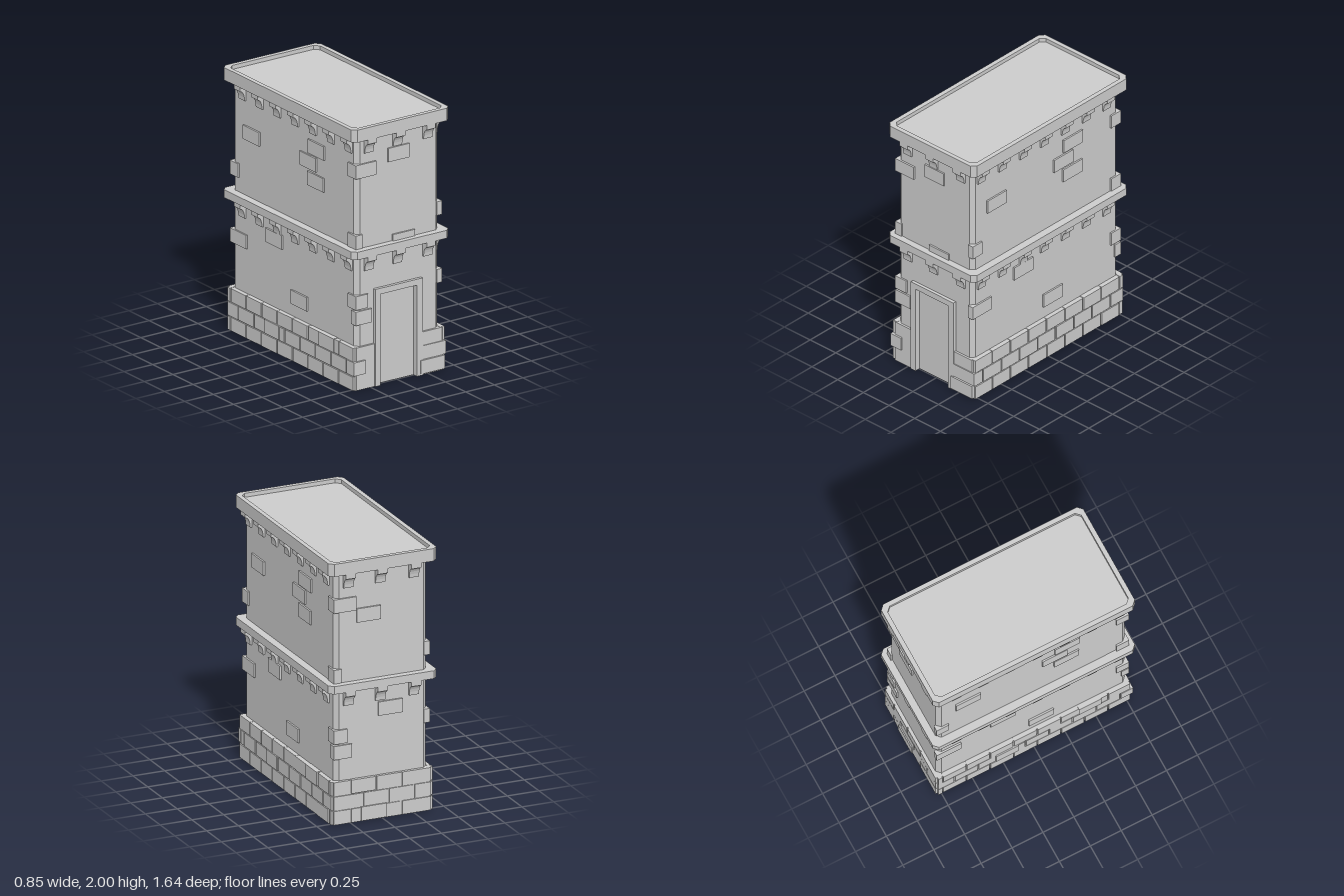
import * as THREE from 'three';

const mat = new THREE.MeshStandardMaterial({ color: 0xcccccc, flatShading: true });
const WALL_X = 0.365, WALL_Z = 0.765;
const DOOR = { x0: -0.17, x1: 0.15, top: 0.695, back: 0.745 };

export function createModel() {
  const model = new THREE.Group();

  function add(name, geometry, parent = model) {
    const mesh = new THREE.Mesh(geometry, mat);
    mesh.name = name;
    parent.add(mesh);
    return mesh;
  }

  function box(name, x0, x1, y0, y1, z0, z1) {
    add(name, new THREE.BoxGeometry(x1 - x0, y1 - y0, z1 - z0))
      .position.set((x0 + x1) / 2, (y0 + y1) / 2, (z0 + z1) / 2);
  }

  // Rectangle with cut corners, optionally notched for the doorway
  function plan(hx, hz, c, notch = false) {
    const pts = [[-hx + c, -hz]];
    if (notch) {
      pts.push([DOOR.x0, -hz], [DOOR.x0, -DOOR.back], [DOOR.x1, -DOOR.back], [DOOR.x1, -hz]);
    }
    pts.push([hx - c, -hz], [hx, -hz + c], [hx, hz - c], [hx - c, hz],
      [-hx + c, hz], [-hx, hz - c], [-hx, -hz + c]);
    return new THREE.Shape(pts.map(([x, y]) => new THREE.Vector2(x, y)));
  }

  function slab(name, shape, y0, y1) {
    const g = new THREE.ExtrudeGeometry(shape, { depth: y1 - y0, bevelEnabled: false });
    add(name, g.rotateX(-Math.PI / 2).translate(0, y0, 0));
  }

  // Walls, with a recessed door in the ground floor
  slab('groundFloorWall', plan(WALL_X, WALL_Z, 0.032, true), 0, DOOR.top);
  slab('upperWall', plan(WALL_X, WALL_Z, 0.032), DOOR.top, 1.93);
  slab('baseCore', plan(0.39, 0.782, 0.015, true), 0, 0.325);

  // Door frame
  box('doorFrameLeft', DOOR.x1, 0.2, 0, 0.74, 0.75, 0.79);
  box('doorFrameRight', -0.215, DOOR.x0, 0, 0.74, 0.75, 0.79);
  box('doorLintel', DOOR.x0, DOOR.x1, DOOR.top, 0.74, 0.75, 0.79);

  // Cornices and the rimmed flat roof
  slab('middleCornice', plan(0.425, 0.818, 0.034), 1.01, 1.07);
  slab('roofSlab', plan(0.425, 0.818, 0.034), 1.905, 1.97);
  const rim = plan(0.425, 0.818, 0.034);
  rim.holes.push(plan(0.39, 0.783, 0.034));
  slab('roofRim', rim, 1.97, 2);

  // Four faces: local +x points outward, local z runs along the wall
  const faces = {};
  [['right', 0], ['front', -Math.PI / 2], ['left', Math.PI], ['back', Math.PI / 2]].forEach(([name, angle]) => {
    const g = new THREE.Group();
    g.name = name + 'Face';
    g.rotation.y = angle;
    model.add(g);
    faces[name] = g;
  });
  const { right, left, front, back } = faces;

  // Corbels with a concave underside
  const profile = new THREE.Shape();
  profile.moveTo(-0.01, 0);
  profile.lineTo(-0.01, -0.115);
  profile.lineTo(0.012, -0.115);
  profile.quadraticCurveTo(0.014, -0.042, 0.052, -0.035);
  profile.lineTo(0.052, 0);
  const corbelGeo = new THREE.ExtrudeGeometry(profile, { depth: 0.077, bevelEnabled: false, curveSegments: 5 });
  corbelGeo.translate(0, 0, -0.0385);
  for (const y of [1.01, 1.905]) {
    for (const [face, out, spots] of [
      [right, WALL_X, [0.68, 0.46, 0.24, 0.02, -0.2, -0.42, -0.635]],
      [left, WALL_X, [0.635, 0.42, 0.2, -0.02, -0.24, -0.46, -0.68]],
      [front, WALL_Z, [-0.255, 0.01, 0.26]],
      [back, WALL_Z, [-0.255, 0.01, 0.26]],
    ]) {
      for (const along of spots) add('corbel', corbelGeo, face).position.set(out, y, along);
    }
  }

  function brick(face, name, out, along, y, length, height) {
    const depth = 0.04;
    add(name, new THREE.BoxGeometry(depth, height, length), face)
      .position.set(out - depth / 2, y, along);
  }

  // Scattered bricks on the walls: [along, height]
  for (const face of [right, left]) {
    for (const [z, y] of [[0.52, 1.55], [-0.28, 1.685], [-0.18, 1.565], [-0.275, 1.44], [0.24, 0.85], [-0.07, 0.473]]) {
      brick(face, 'sideBrick', WALL_X + 0.013, z, y, 0.2, 0.105);
    }
  }
  brick(front, 'frontBrick', WALL_Z + 0.013, 0, 1.732, 0.185, 0.105);
  brick(front, 'frontBrick', WALL_Z + 0.013, -0.045, 1.067, 0.19, 0.105);
  brick(back, 'backBrick', WALL_Z + 0.013, 0.1, 1.565, 0.19, 0.105);
  brick(back, 'backBrick', WALL_Z + 0.013, -0.07, 0.83, 0.19, 0.105);

  // Corner bricks, repeated on diagonally opposite corners: [x side, height, x length, z length]
  for (const s of [1, -1]) {
    for (const [sx, y, lx, lz] of [
      [-1, 1.66, 0.18, 0.1], [-1, 1.125, 0.06, 0.1], [-1, 0.663, 0.108, 0.1], [-1, 0.545, 0.143, 0.06],
      [1, 1.235, 0.045, 0.1], [1, 0.72, 0.045, 0.2],
    ]) {
      add('cornerBrick', new THREE.BoxGeometry(lx, 0.104, lz))
        .position.set(s * sx * (WALL_X + 0.013 - lx / 2), y, s * (WALL_Z + 0.013 - lz / 2));
    }
  }

  // Three staggered courses of base bricks on the sides and back
  let seed = 7;
  const jitter = () => (seed = (seed * 16807) % 2147483647) / 2147483647 * 0.004;
  function courses(face, half, out, step, offset) {
    for (let row = 0; row < 3; row++) {
      const joints = [-half];
      for (let p = offset - (row % 2) * step / 2 - 6 * step; p < half - 0.04; p += step) {
        if (p > -half + 0.04) joints.push(p);
      }
      joints.push(half);
      for (let i = 0; i + 1 < joints.length; i++) {
        const a = joints[i], b = joints[i + 1];
        brick(face, 'baseBrick', out + jitter(), (a + b) / 2, 0.055 + row * 0.11, b - a - 0.01, 0.103);
      }
    }
  }
  courses(right, 0.78, 0.398, 0.191, 0.025);
  courses(left, 0.78, 0.398, 0.191, -0.025);
  courses(back, 0.388, 0.788, 0.2, 0.05);

  // Prouder base bricks
  for (const face of [right, left]) {
    brick(face, 'proudBaseBrick', 0.408, 0.222, 0.17, 0.18, 0.105);
    brick(face, 'proudBaseBrick', 0.406, -0.45, 0.277, 0.18, 0.105);
  }
  brick(back, 'proudBaseBrick', 0.798, 0.07, 0.06, 0.2, 0.105);
  box('frontBaseBrick', -0.405, -0.305, 0.12, 0.222, 0.7, 0.797);
  box('frontBaseBrick', 0.2, 0.402, 0.12, 0.222, 0.75, 0.789);
  box('frontBaseBrick', 0.18, 0.39, 0.012, 0.115, 0.75, 0.798);

  return model;
}
